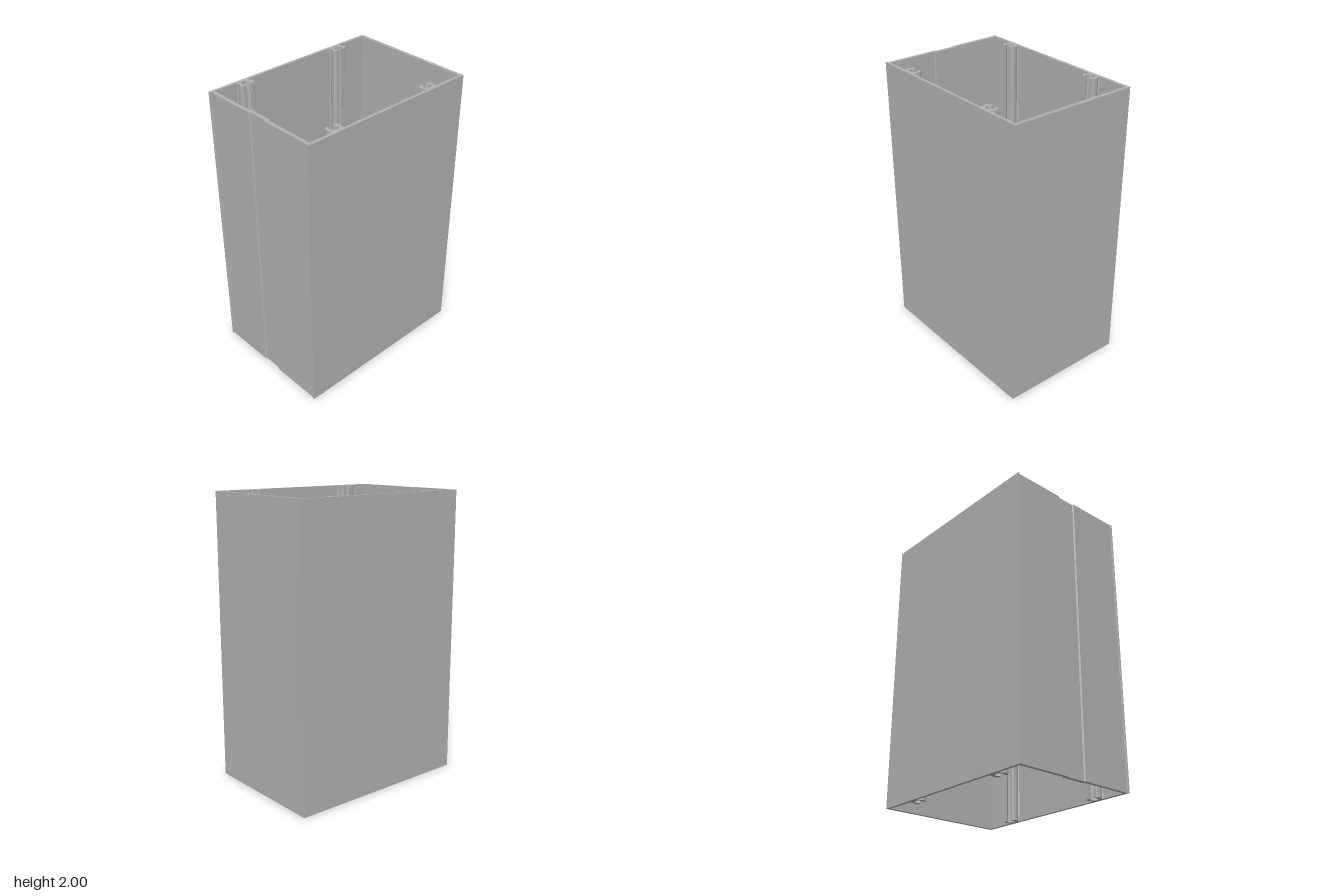
import * as THREE from 'three';

const HEIGHT = 2;
const HX = 0.665, HZ = 0.46;      // outer half sizes
const IN_X0 = -0.632, IN_X1 = 0.642, IN_Z = 0.44; // inner faces

const toPoints = (list) => list.map(([x, y]) => new THREE.Vector2(x, y));

// Extrude a plan section (x, -z) straight up from the ground
function extrudeUp(shape) {
  const geometry = new THREE.ExtrudeGeometry(shape, { depth: HEIGHT, bevelEnabled: false });
  return geometry.rotateX(-Math.PI / 2);
}

// Mirror a half outline across its second coordinate
const mirrorY = (half) => [...half, ...half.map(([x, y]) => [x, -y]).reverse()];
const mirrorX = (half) => [...half, ...half.map(([x, y]) => [-x, y]).reverse()];

export function createModel() {
  const group = new THREE.Group();
  group.name = 'boxProfile';
  const aluminium = new THREE.MeshStandardMaterial({ color: 0xb2b2b2 });
  aluminium.name = 'grey aluminium';

  // Tube walls, with corner lips and a shallow groove on the -x side
  const wall = new THREE.Shape(toPoints(mirrorY([
    [HX, HZ],
    [-HX, HZ],
    [-HX, HZ - 0.009],
    [-0.656, HZ - 0.012],
    [-0.656, 0.072],
    [-0.646, 0.066],
  ])));
  wall.holes.push(new THREE.Path(toPoints(mirrorY([
    [IN_X1, IN_Z],
    [IN_X0, IN_Z],
    [IN_X0, 0.094],
    [-0.621, 0.09],
  ]))));
  const shell = new THREE.Mesh(extrudeUp(wall), aluminium);
  shell.name = 'tubeWalls';
  group.add(shell);

  // Screw channel section: half outline from the wall, round the claw, to the roof
  const claw = [
    [0.046, 0], [0.041, 0.007], [0.047, 0.018], [0.052, 0.03], [0.053, 0.042],
    [0.051, 0.054], [0.046, 0.064], [0.042, 0.066], [0.018, 0.066], [0.018, 0.059],
    [0.026, 0.05], [0.031, 0.038], [0.027, 0.027], [0.018, 0.014], [0.008, 0.008],
  ];
  // Out along the right claw and back along the left, then close along the wall
  const section = new THREE.Shape(toPoints(mirrorX(claw).map(([x, d]) => [x, -d])));
  const channelGeometry = extrudeUp(section);

  for (const x of [-0.418, 0.377]) {
    for (const side of [-1, 1]) {
      const channel = new THREE.Mesh(channelGeometry, aluminium);
      channel.name = (side < 0 ? 'back' : 'front') + (x < 0 ? 'Right' : 'Left') + 'ScrewChannel';
      channel.position.set(x, 0, side * IN_Z);
      if (side > 0) channel.rotation.y = Math.PI;
      group.add(channel);
    }
  }
  return group;
}
